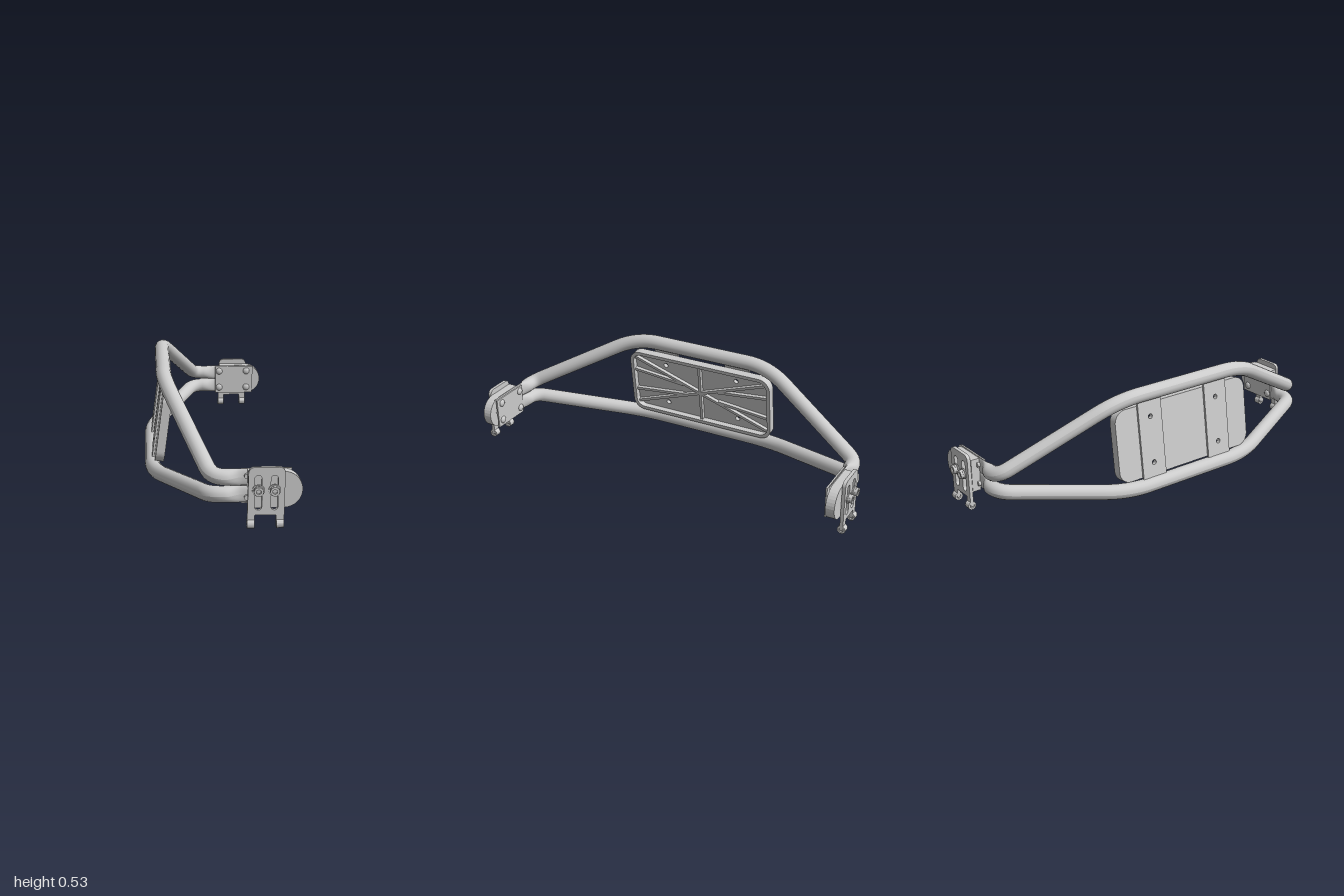
import * as THREE from 'three';

const mat = new THREE.MeshStandardMaterial({ color: 0xcccccc, side: THREE.DoubleSide });
const V = (x, y, z) => new THREE.Vector3(x, y, z);

function add(parent, name, geo, x = 0, y = 0, z = 0) {
  const m = new THREE.Mesh(geo, mat);
  m.name = name;
  m.position.set(x, y, z);
  parent.add(m);
  return m;
}

// Polyline with its corners rounded by curves
function roundedPath(pts, setbacks) {
  const path = new THREE.CurvePath();
  let prev = pts[0];
  for (let i = 1; i < pts.length - 1; i++) {
    const p = pts[i], d = setbacks[i - 1];
    const a = p.clone().add(pts[i - 1].clone().sub(p).setLength(d));
    const b = p.clone().add(pts[i + 1].clone().sub(p).setLength(d));
    path.add(new THREE.LineCurve3(prev, a));
    path.add(new THREE.QuadraticBezierCurve3(a, p, b));
    prev = b;
  }
  path.add(new THREE.LineCurve3(prev, pts[pts.length - 1]));
  return path;
}

// Bent rail whose ends are pressed flat for the brackets
function rail(mid, corner, zMid) {
  const FLAT = 0.91, y = corner.y;
  const half = [V(0.288, y, FLAT), V(0.03, y, FLAT), corner, V(mid.x, mid.y, zMid)];
  const pts = [...half, ...half.map(p => V(p.x, p.y, -p.z)).reverse()];
  const path = roundedPath(pts, [0.02, 0.06, 0.12, 0.12, 0.06, 0.02]);
  const geo = new THREE.TubeGeometry(path, 180, 0.036, 18, false);
  const pos = geo.attributes.position;
  for (let i = 0; i < pos.count; i++) {
    const x = pos.getX(i), z = pos.getZ(i), c = Math.sign(z) * FLAT;
    if (Math.abs(z) < 0.8) continue;
    const t = THREE.MathUtils.smoothstep(x, 0.01, 0.075);
    pos.setZ(i, c + (z - c) * (1 - 0.78 * t));
    pos.setY(i, y + (pos.getY(i) - y) * (1 + 0.05 * t));
  }
  geo.computeVertexNormals();
  return geo;
}

function roundRect(w, h, r, S = THREE.Shape) {
  const s = new S(), x = w / 2 - r, y = h / 2 - r;
  s.absarc(x, y, r, 0, Math.PI / 2);
  s.absarc(-x, y, r, Math.PI / 2, Math.PI);
  s.absarc(-x, -y, r, Math.PI, 1.5 * Math.PI);
  s.absarc(x, -y, r, 1.5 * Math.PI, 2 * Math.PI);
  s.closePath();
  return s;
}

function circle(x, y, r, S = THREE.Path) {
  const s = new S();
  s.absarc(x, y, r, 0, Math.PI * 2);
  return s;
}

const extrude = (shape, depth, curveSegments = 8) =>
  new THREE.ExtrudeGeometry(shape, { depth, bevelEnabled: false, curveSegments });

// Extrusion between two distances from the middle, on side s
function slab(parent, name, shape, z0, z1, s, seg) {
  return add(parent, name, extrude(shape, z1 - z0, seg), 0, 0, s > 0 ? z0 : -z1);
}

function polygon(pts) {
  return new THREE.Shape(pts.map(p => new THREE.Vector2(...p)));
}

function bracket(s) {
  const g = new THREE.Group();
  g.name = s > 0 ? 'frontBracket' : 'backBracket';

  // Clamp plate and round-ended block
  slab(g, 'innerPlate', polygon([[0.075, 0.088], [0.284, 0.088], [0.29, 0.242], [0.075, 0.242]]), 0.896, 0.904, s);
  const body = new THREE.Shape();
  body.moveTo(0.1, 0.085);
  body.lineTo(0.25, 0.085);
  body.absarc(0.25, 0.165, 0.08, -Math.PI / 2, Math.PI / 2);
  body.lineTo(0.1, 0.245);
  slab(g, 'mountBlock', body, 0.914, 0.957, s, 8);

  // Slotted outer plate with two legs
  const p = new THREE.Shape();
  p.moveTo(0.094, 0.015);
  p.lineTo(0.125, 0.015);
  p.lineTo(0.127, 0.06);
  p.lineTo(0.216, 0.06);
  p.lineTo(0.218, 0.015);
  p.lineTo(0.25, 0.015);
  p.lineTo(0.254, 0.245);
  p.absarc(0.229, 0.245, 0.025, 0, Math.PI / 2);
  p.absarc(0.125, 0.245, 0.025, Math.PI / 2, Math.PI);
  p.closePath();
  for (const x of [0.141, 0.209]) {
    const slot = new THREE.Path();
    slot.absarc(x, 0.22, 0.015, 0, Math.PI);
    slot.absarc(x, 0.097, 0.015, Math.PI, Math.PI * 2);
    slot.closePath();
    p.holes.push(slot);
  }
  slab(g, 'slottedPlate', p, 0.96, 0.976, s);

  // Rolled eyes at the foot of the legs
  const ring = circle(0, 0, 0.02, THREE.Shape);
  ring.holes.push(circle(0, 0, 0.011));
  for (const x of [0.094, 0.218])
    add(g, 'hingeEye', extrude(ring, 0.032), x, 0.02, s * 0.968).rotation.y = Math.PI / 2;

  // Socket bolts with washers
  for (const x of [0.141, 0.209]) {
    const y = 0.17;
    slab(g, 'washer', circle(x, y, 0.026, THREE.Shape), 0.976, 0.981, s, 16);
    slab(g, 'boltBase', circle(x, y, 0.021, THREE.Shape), 0.981, 0.989, s, 16);
    const head = circle(x, y, 0.02, THREE.Shape);
    head.holes.push(new THREE.Path(Array.from({ length: 6 }, (_, i) =>
      new THREE.Vector2(x + 0.011 * Math.sin(i * Math.PI / 3), y + 0.011 * Math.cos(i * Math.PI / 3)))));
    slab(g, 'boltHead', head, 0.989, 1.0, s, 16);
    slab(g, 'boltShank', circle(x, y, 0.011, THREE.Shape), 0.95, 0.976, s, 10);
  }

  // Clamp screws through the flattened rails
  for (const x of [0.097, 0.252]) for (const y of [0.12, 0.215]) {
    slab(g, 'screwShank', circle(x, y, 0.011, THREE.Shape), 0.896, 0.93, s, 10);
    const dome = new THREE.SphereGeometry(0.019, 14, 6, 0, Math.PI * 2, 0, Math.PI / 2);
    const m = add(g, 'screwHead', dome, x, y, s * 0.896);
    m.rotation.x = -s * Math.PI / 2;
    m.scale.y = 0.6;
  }
  return g;
}

function backPanel() {
  const tilt = new THREE.Group();
  tilt.name = 'panel';
  tilt.position.set(-0.262, 0.272, 0);
  tilt.rotation.z = -0.135;
  const g = new THREE.Group();
  g.rotation.y = Math.PI / 2;
  tilt.add(g);
  const W = 0.79, H = 0.352;

  // Sheet with four holes, and its raised rim
  const sheet = roundRect(W, H, 0.06);
  for (const x of [-0.2, 0.2]) for (const y of [-0.113, 0.113]) sheet.holes.push(circle(x, y, 0.012));
  add(g, 'panelSheet', extrude(sheet, 0.012));
  const rim = roundRect(W, H, 0.06);
  rim.holes.push(roundRect(W - 0.036, H - 0.036, 0.045, THREE.Path));
  add(g, 'panelRim', extrude(rim, 0.03), 0, 0, 0.012);

  // Stiffening ribs
  const rib = (x0, y0, x1, y1) => {
    const len = Math.hypot(x1 - x0, y1 - y0);
    add(g, 'rib', new THREE.BoxGeometry(len, 0.014, 0.02), (x0 + x1) / 2, (y0 + y1) / 2, 0.021)
      .rotation.z = Math.atan2(y1 - y0, x1 - x0);
  };
  rib(0, -H / 2 + 0.01, 0, H / 2 - 0.01);
  for (const sx of [-1, 1]) for (const sy of [-1, 1]) {
    rib(0, 0, sx * 0.37, sy * 0.135);
    rib(sx * 0.1, sy * 0.03, sx * 0.38, sy * 0.06);
  }

  // Straps that join the panel to both rails
  for (const x of [-0.2, 0.2]) {
    const strap = roundRect(0.135, 0.4, 0.004);
    for (const y of [-0.113, 0.113]) strap.holes.push(circle(0, y, 0.012));
    add(g, 'strap', extrude(strap, 0.01), x, 0, -0.01);
  }
  return tilt;
}

export function createModel() {
  const model = new THREE.Group();
  model.name = 'sideRack';
  add(model, 'upperRail', rail(V(-0.238, 0.498, 0), V(-0.05, 0.208, 0.912), 0.37));
  add(model, 'lowerRail', rail(V(-0.295, 0.056, 0), V(-0.055, 0.132, 0.912), 0.36));
  model.add(backPanel(), bracket(1), bracket(-1));
  return model;
}
